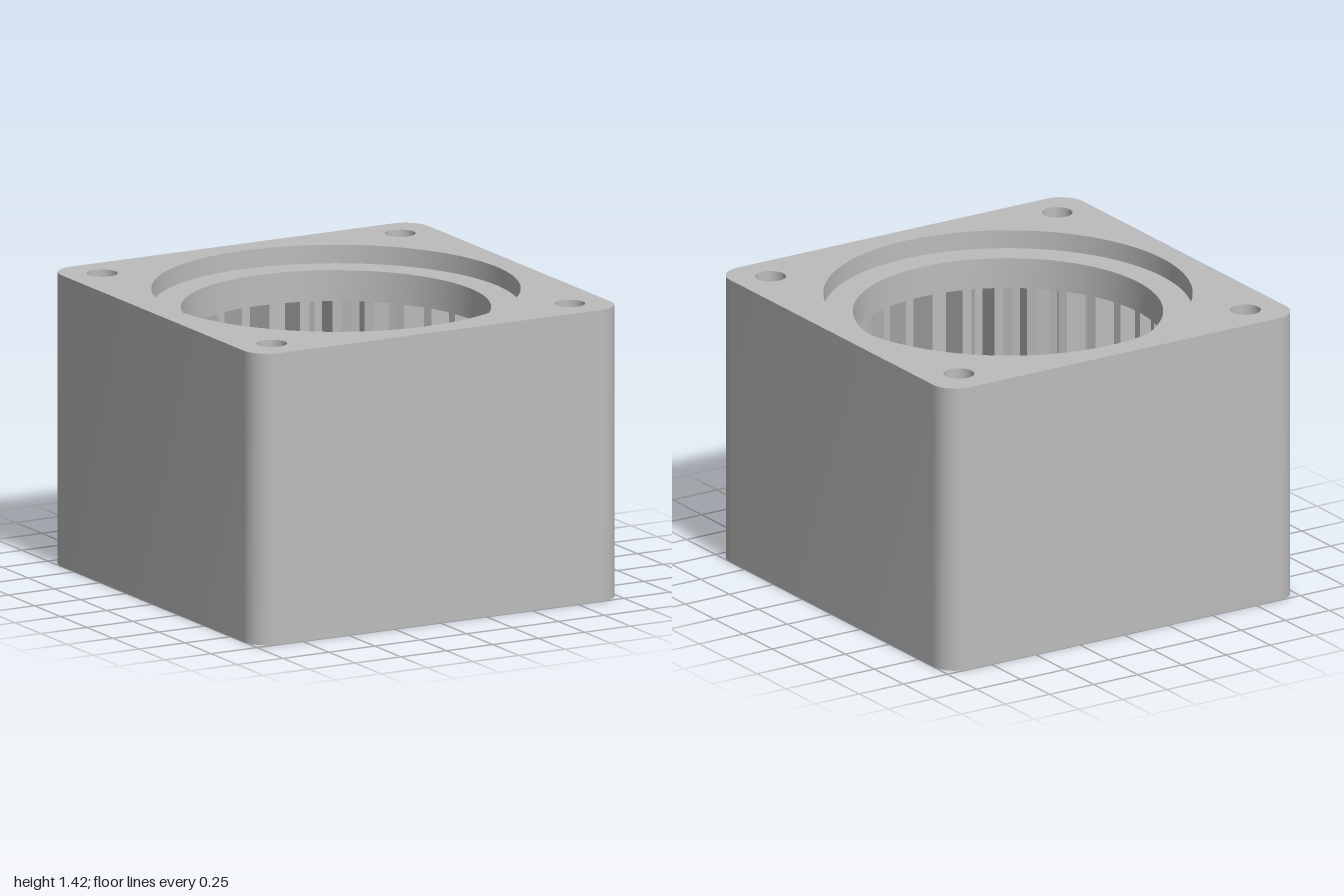
import * as THREE from 'three';
import { toCreasedNormals } from 'three/addons/utils/BufferGeometryUtils.js';

const HEIGHT = 1.42, LEDGE_Y = 1.33, TEETH_TOP = 1.18, TEETH_BOTTOM = 0.12;
const TOP_BORE = 0.875, LIP = 0.735, BOTTOM_BORE = 0.862, ROOT = 0.853;
const TEETH = 30, BOLT = 0.812, BOLT_R = 0.073, CORNER = 0.125;

// Outlines, all counterclockwise
function circle(r, x = 0, y = 0, n = 120) {
  return Array.from({ length: n }, (_, i) => {
    const a = (i / n) * Math.PI * 2;
    return new THREE.Vector2(x + r * Math.cos(a), y + r * Math.sin(a));
  });
}

function roundedSquare(half, r, steps = 12) {
  const pts = [], c = half - r;
  [[c, c], [-c, c], [-c, -c], [c, -c]].forEach(([x, y], q) => {
    for (let i = 0; i <= steps; i++) {
      const a = (q + i / steps) * Math.PI / 2;
      pts.push(new THREE.Vector2(x + r * Math.cos(a), y + r * Math.sin(a)));
    }
  });
  return pts;
}

function internalGear() {
  const pts = [];
  for (let k = 0; k < TEETH; k++) {
    // base, tip, tip, base of one inward tooth
    for (const [r, da] of [[ROOT, -0.084], [LIP, -0.03], [LIP, 0.03], [ROOT, 0.084]]) {
      const a = (k / TEETH) * Math.PI * 2 + da;
      pts.push(new THREE.Vector2(r * Math.cos(a), r * Math.sin(a)));
    }
  }
  return pts;
}

// Upright wall following a closed outline
function wall(outline, y0, y1, inward) {
  const pts = inward ? [...outline].reverse() : outline;
  const pos = [];
  pts.forEach((p, i) => {
    const q = pts[(i + 1) % pts.length];
    const a = [p.x, y0, -p.y], b = [q.x, y0, -q.y], c = [q.x, y1, -q.y], d = [p.x, y1, -p.y];
    pos.push(...a, ...b, ...c, ...a, ...c, ...d);
  });
  const g = new THREE.BufferGeometry();
  g.setAttribute('position', new THREE.Float32BufferAttribute(pos, 3));
  return toCreasedNormals(g, Math.PI / 7);
}

// Flat face with holes, facing up or down
function face(outline, holes, y, up) {
  const shape = new THREE.Shape(outline);
  shape.holes = holes.map((h) => new THREE.Path([...h].reverse()));
  return new THREE.ShapeGeometry(shape).rotateX(up ? -Math.PI / 2 : Math.PI / 2).translate(0, y, 0);
}

export function createModel() {
  const group = new THREE.Group();
  group.name = 'ringGearHousing';
  const grey = new THREE.MeshStandardMaterial({ color: 0xbcbcbc });
  grey.name = 'grey';
  const add = (name, geometry) => {
    const mesh = new THREE.Mesh(geometry, grey);
    mesh.name = name;
    group.add(mesh);
  };

  const body = roundedSquare(1, CORNER);
  const bolts = [[1, 1], [-1, 1], [-1, -1], [1, -1]].map(([x, y]) => circle(BOLT_R, x * BOLT, y * BOLT, 40));
  const topBore = circle(TOP_BORE), lip = circle(LIP), bottomBore = circle(BOTTOM_BORE);
  const gear = internalGear();

  // Housing block
  add('outerWall', wall(body, 0, HEIGHT, false));
  add('topFace', face(body, [topBore, ...bolts], HEIGHT, true));
  add('bottomFace', face(body, [bottomBore, ...bolts], 0, false));
  bolts.forEach((b) => add('boltHole', wall(b, 0, HEIGHT, true)));

  // Stepped bore at the top
  add('topBoreWall', wall(topBore, LEDGE_Y, HEIGHT, true));
  add('topLedge', face(topBore, [lip], LEDGE_Y, true));
  add('lipWall', wall(lip, TEETH_TOP, LEDGE_Y, true));
  add('lipUnderside', face(bottomBore, [lip], TEETH_TOP, false));

  // Internal ring gear and recess at the bottom
  add('gearTeeth', wall(gear, TEETH_BOTTOM, TEETH_TOP, true));
  add('teethEndFace', face(bottomBore, [gear], TEETH_BOTTOM, false));
  add('bottomBoreWall', wall(bottomBore, 0, TEETH_BOTTOM, true));
  return group;
}
